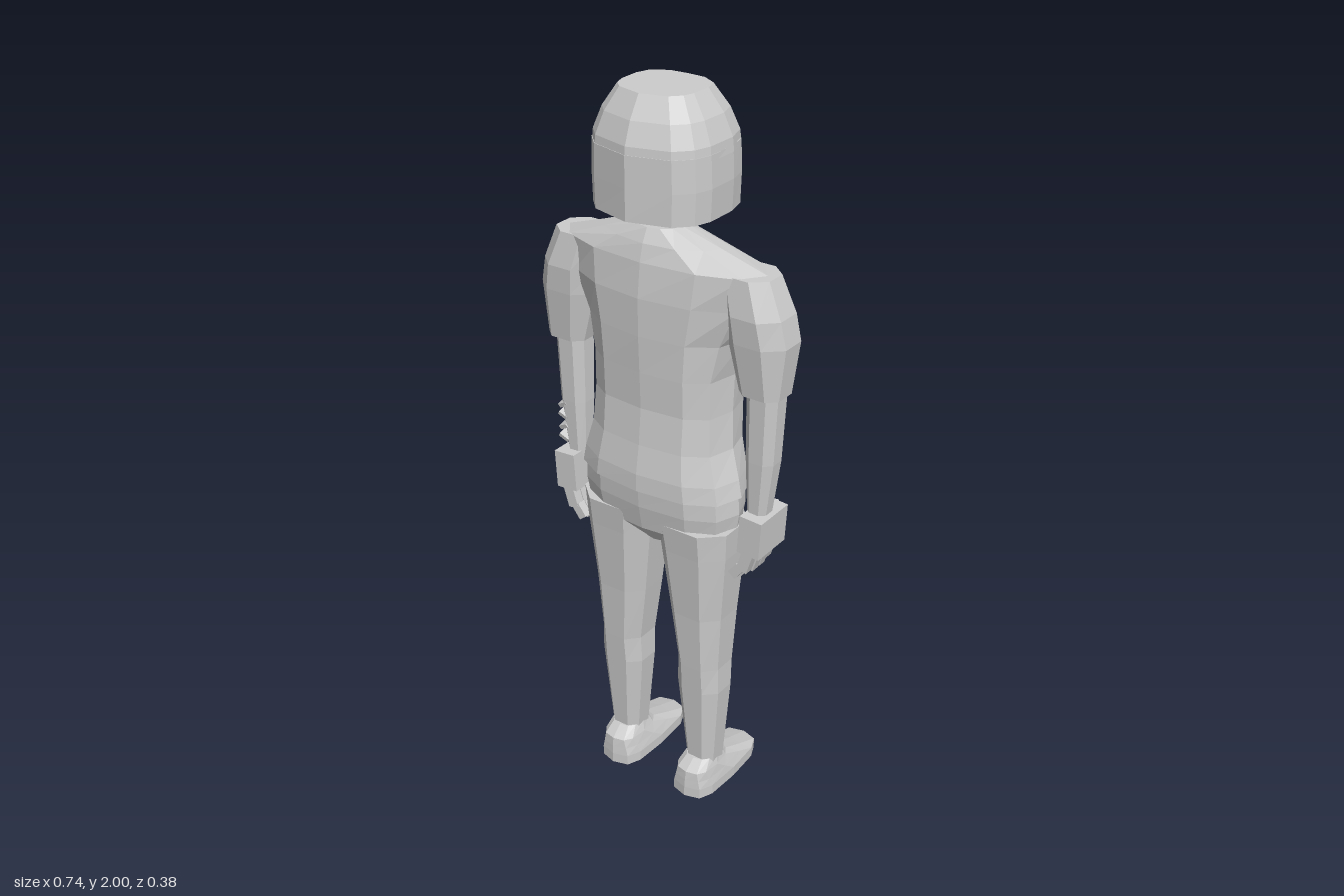
import * as THREE from 'three';

const grey = new THREE.MeshStandardMaterial({ color: 0xcccccc });
grey.name = 'plainGrey';

// Cross-section at height y: x from x0 to x1, z from zf (front) to zb (back); low p is boxier
function ring(y, x0, x1, zf, zb, p = 0.8, n = 12) {
  const pts = [];
  for (let i = 0; i < n; i++) {
    const t = ((i + (n === 8 ? 0.5 : 0)) / n) * Math.PI * 2;
    const soft = (v) => Math.sign(v) * Math.pow(Math.abs(v), p);
    pts.push([
      (x0 + x1) / 2 + (soft(Math.cos(t)) * (x1 - x0)) / 2, y,
      (zf + zb) / 2 - (soft(Math.sin(t)) * (zb - zf)) / 2,
    ]);
  }
  return pts;
}
const midRing = (y, hx, zf, zb, p, n) => ring(y, -hx, hx, zf, zb, p, n);
const sideRing = (s, y, a, b, ...rest) =>
  s > 0 ? ring(y, a, b, ...rest) : ring(y, -b, -a, ...rest);

// Faceted skin over rings listed from bottom to top, closed at both ends
function loft(name, rings) {
  const v = [];
  const n = rings[0].length;
  const centre = (r) => [0, 1, 2].map((k) => r.reduce((sum, q) => sum + q[k], 0) / n);
  const low = rings[0], high = rings[rings.length - 1];
  const cLow = centre(low), cHigh = centre(high);
  for (let i = 0; i < n; i++) {
    const j = (i + 1) % n;
    for (let k = 0; k < rings.length - 1; k++) {
      const a = rings[k], b = rings[k + 1];
      v.push(...a[i], ...a[j], ...b[j], ...a[i], ...b[j], ...b[i]);
    }
    v.push(...cLow, ...low[j], ...low[i], ...cHigh, ...high[i], ...high[j]);
  }
  const geo = new THREE.BufferGeometry();
  geo.setAttribute('position', new THREE.Float32BufferAttribute(v, 3));
  geo.computeVertexNormals();
  const mesh = new THREE.Mesh(geo, grey);
  mesh.name = name;
  return mesh;
}

function box(name, w, h, d, x, y, z, rx = 0, ry = 0, rz = 0) {
  const mesh = new THREE.Mesh(new THREE.BoxGeometry(w, h, d), grey);
  mesh.name = name;
  mesh.position.set(x, y, z);
  mesh.rotation.set(rx, ry, rz);
  return mesh;
}

function makeHead() {
  const head = new THREE.Group();
  head.name = 'head';
  head.add(loft('neck', [
    midRing(1.58, 0.055, -0.02, 0.07, 1, 8),
    midRing(1.76, 0.05, -0.025, 0.06, 1, 8),
  ]));
  head.add(loft('face', [
    midRing(1.658, 0.035, -0.117, -0.075),
    midRing(1.69, 0.075, -0.118, -0.015),
    midRing(1.74, 0.1, -0.122, 0.04),
    midRing(1.8, 0.115, -0.122, 0.05),
    midRing(1.9, 0.11, -0.105, 0.05),
  ]));
  head.add(loft('nose', [
    midRing(1.755, 0.022, -0.148, -0.1, 1, 6),
    midRing(1.772, 0.02, -0.148, -0.1, 1, 6),
    midRing(1.84, 0.009, -0.126, -0.1, 1, 6),
  ]));
  head.add(box('upperLip', 0.075, 0.014, 0.03, 0, 1.737, -0.119));
  head.add(box('lowerLip', 0.05, 0.012, 0.025, 0, 1.712, -0.114));
  for (const s of [-1, 1]) {
    head.add(box('brow', 0.05, 0.014, 0.03, s * 0.045, 1.842, -0.107, 0, s * -0.2, s * 0.2));
    head.add(box('eye', 0.034, 0.016, 0.02, s * 0.045, 1.812, -0.112, 0, s * -0.2));
  }

  // Bob with a front opening: U-shaped sections round the face
  const half = [[0.105, -0.005], [0.118, -0.045], [0.148, -0.075], [0.162, -0.02],
    [0.162, 0.07], [0.148, 0.115], [0.11, 0.155]];
  const uRing = (y, k) => {
    const right = half.map(([x, z]) => [x * k, y, z]);
    const left = half.map(([x, z]) => [-x * k, y, z]).reverse();
    return [...right, [0, y, 0.185], ...left].reverse();
  };
  head.add(loft('hairSides', [uRing(1.71, 1), uRing(1.79, 1.02), uRing(1.87, 1)]));

  const cap = [[0, -0.125], [0.08, -0.12], [0.145, -0.08], [0.164, -0.02],
    [0.162, 0.07], [0.148, 0.115], [0.11, 0.155]];
  const capRing = (y, k, dz = 0) => {
    const right = cap.map(([x, z]) => [x * k, y, (z - 0.03) * k + 0.03 + dz]);
    const left = cap.slice(1).map(([x, z]) => [-x * k, y, (z - 0.03) * k + 0.03 + dz]).reverse();
    return [...right, [0, y, 0.155 * k + 0.03 + dz], ...left].reverse();
  };
  head.add(loft('hairCrown', [
    capRing(1.855, 1), capRing(1.89, 0.98), capRing(1.945, 0.85),
    capRing(1.985, 0.69), capRing(2, 0.63),
  ]));
  return head;
}

function makeArm(s) {
  const arm = new THREE.Group();
  arm.name = s > 0 ? 'leftArm' : 'rightArm';
  arm.add(loft('sleeve', [
    sideRing(s, 1.29, 0.235, 0.357, -0.032, 0.08, 0.7, 8),
    sideRing(s, 1.43, 0.195, 0.375, -0.06, 0.1, 0.9, 8),
    sideRing(s, 1.5, 0.19, 0.36, -0.06, 0.105, 0.9, 8),
    sideRing(s, 1.592, 0.17, 0.322, -0.04, 0.09, 0.9, 8),
  ]));
  arm.add(loft('forearm', [
    sideRing(s, 0.93, 0.258, 0.315, -0.012, 0.05, 0.8, 8),
    sideRing(s, 1.1, 0.25, 0.337, -0.022, 0.058, 0.8, 8),
    sideRing(s, 1.32, 0.248, 0.347, -0.028, 0.062, 0.8, 8),
  ]));
  arm.add(box('palm', 0.065, 0.108, 0.125, s * 0.295, 0.897, 0.016, 0, 0, s * -0.06));
  for (let i = 0; i < 4; i++) {
    const z = 0.064 - i * 0.031;
    const drop = i === 1 || i === 2 ? 0.008 : 0;
    arm.add(box('finger', 0.032, 0.065, 0.026, s * 0.282, 0.822 - drop, z, 0, 0, s * -0.3));
    arm.add(box('fingertip', 0.026, 0.042, 0.024, s * 0.255, 0.782 - drop, z, 0, 0, s * -0.65));
  }
  arm.add(box('thumb', 0.035, 0.085, 0.028, s * 0.262, 0.89, -0.066, 0.25, s * 0.4, s * -0.3));
  return arm;
}

function makeLeg(s) {
  const leg = new THREE.Group();
  leg.name = s > 0 ? 'leftLeg' : 'rightLeg';
  leg.add(loft('trouserLeg', [
    sideRing(s, 0.09, 0.083, 0.177, -0.03, 0.07, 0.8, 8),
    sideRing(s, 0.35, 0.057, 0.2, -0.04, 0.09, 0.8, 8),
    sideRing(s, 0.43, 0.06, 0.198, -0.05, 0.096, 0.8, 8),
    sideRing(s, 0.6, 0.036, 0.21, -0.06, 0.108, 0.8, 8),
    sideRing(s, 0.8, 0.01, 0.23, -0.072, 0.128, 0.8, 8),
    sideRing(s, 0.88, 0, 0.235, -0.082, 0.138, 0.8, 8),
  ]));
  leg.add(loft('shoe', [
    sideRing(s, 0, 0.06, 0.192, -0.19, 0.115, 0.6),
    sideRing(s, 0.03, 0.06, 0.192, -0.19, 0.115, 0.6),
    sideRing(s, 0.055, 0.067, 0.186, -0.12, 0.113, 0.65),
    sideRing(s, 0.082, 0.075, 0.18, -0.05, 0.11, 0.7),
    sideRing(s, 0.11, 0.085, 0.173, -0.03, 0.075, 0.8),
  ]));
  return leg;
}

export function createModel() {
  const model = new THREE.Group();
  model.name = 'standingFigure';
  model.add(makeHead());
  model.add(loft('shirt', [
    midRing(0.972, 0.238, -0.1, 0.156, 0.8),
    midRing(1.02, 0.228, -0.102, 0.155, 0.8),
    midRing(1.1, 0.203, -0.106, 0.142, 0.75),
    midRing(1.2, 0.195, -0.112, 0.132, 0.7),
    midRing(1.3, 0.195, -0.128, 0.136, 0.7),
    midRing(1.4, 0.22, -0.15, 0.14, 0.8),
    midRing(1.5, 0.275, -0.122, 0.14, 0.95),
    midRing(1.59, 0.3, -0.08, 0.13, 1),
    midRing(1.635, 0.17, -0.045, 0.118, 1),
    midRing(1.67, 0.065, -0.01, 0.1, 1),
  ]));
  model.add(loft('trouserHips', [
    midRing(0.79, 0.05, -0.03, 0.08),
    midRing(0.85, 0.222, -0.078, 0.132),
    midRing(0.92, 0.232, -0.09, 0.145),
    midRing(0.985, 0.228, -0.094, 0.15),
  ]));
  for (const s of [-1, 1]) model.add(makeArm(s), makeLeg(s));

  // Raised bands on the right forearm
  for (let i = 0; i < 4; i++) {
    model.add(box('wristBand', 0.03, 0.012, 0.07, -0.318, 0.99 + i * 0.033, 0.02, 0.25, 0, i % 2 ? 0.5 : -0.5));
  }
  return model;
}
